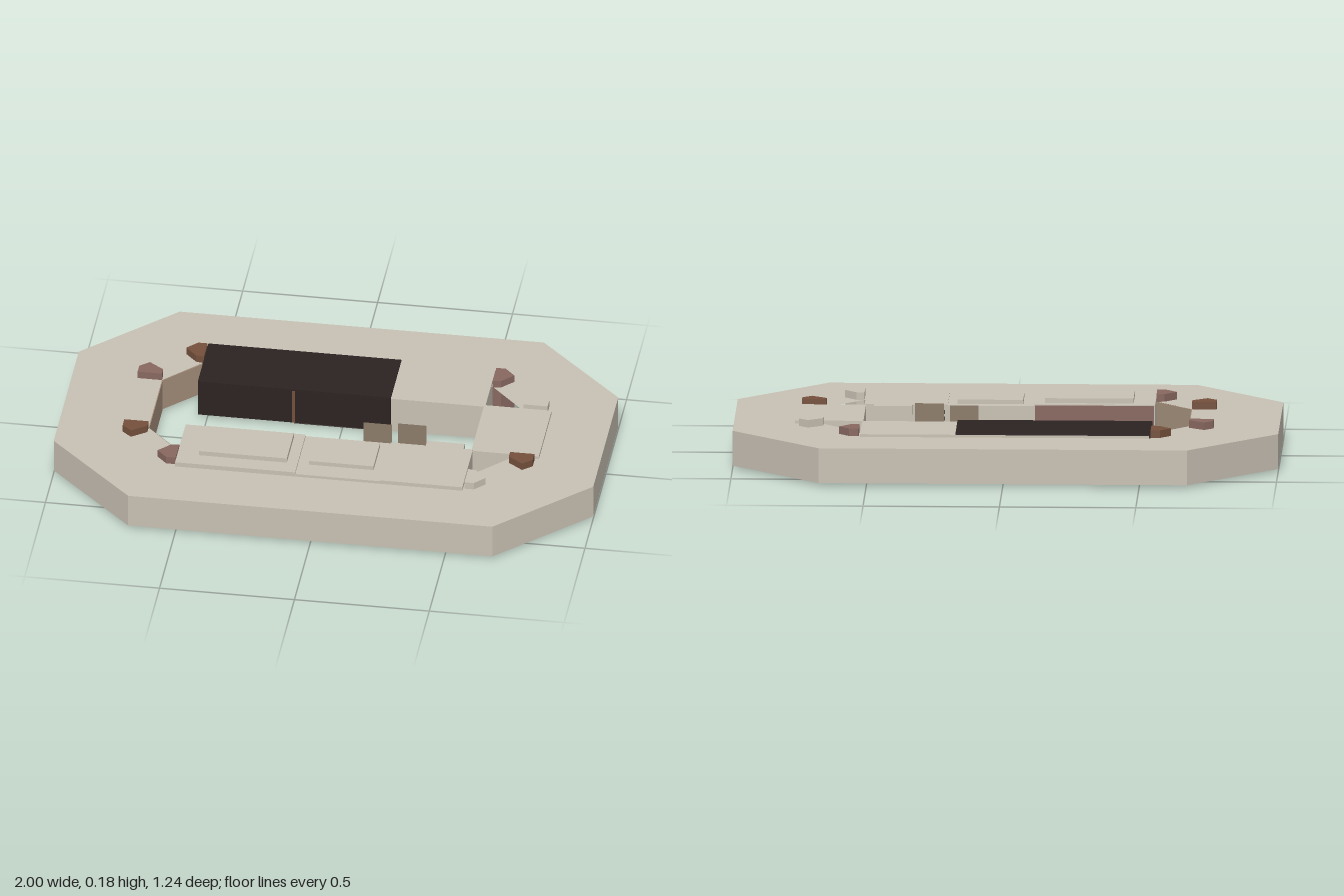
import * as THREE from 'three';

const mat = (name, color) => {
  const m = new THREE.MeshStandardMaterial({ color });
  m.name = name;
  return m;
};

export function createModel() {
  const model = new THREE.Group();
  model.name = 'counterRing';

  const beige = mat('beige', 0xc8c0b3);
  const black = mat('black', 0x2c2222);
  const rosy = mat('rosyBrown', 0x886860);
  const brown = mat('brown', 0x74503c);
  const tan = mat('tan', 0xa48f7b);
  const wood = mat('wood', 0xb0906c);
  const panelBrown = mat('panelBrown', 0x8b7b69);
  const dark = mat('darkGrey', 0x4c4640);

  const add = (name, geometry, material) => {
    const mesh = new THREE.Mesh(geometry, material);
    mesh.name = name;
    model.add(mesh);
    return mesh;
  };
  // box given by its extents
  const box = (name, material, x0, x1, y0, y1, z0, z1) => {
    const mesh = add(name, new THREE.BoxGeometry(x1 - x0, y1 - y0, z1 - z0), material);
    mesh.position.set((x0 + x1) / 2, (y0 + y1) / 2, (z0 + z1) / 2);
    return mesh;
  };
  // floor outline of [x, z] points raised between two heights
  const prism = (name, material, pts, y0, y1, hole) => {
    const toVec = ([x, z]) => new THREE.Vector2(x, -z);
    const shape = new THREE.Shape(pts.map(toVec));
    if (hole) shape.holes.push(new THREE.Path(hole.map(toVec)));
    const g = new THREE.ExtrudeGeometry(shape, { depth: y1 - y0, bevelEnabled: false });
    g.rotateX(-Math.PI / 2).translate(0, y0, 0);
    return add(name, g, material);
  };
  // octagon through (a, b) and (c, d), mirrored to all quadrants
  const octagon = (a, b, c, d) => [
    [a, b], [c, d], [-c, d], [-a, b], [-a, -b], [-c, -d], [c, -d], [a, -b],
  ];

  // outer ring
  prism('ring', beige, octagon(1, 0.3, 0.675, 0.62), 0.01, 0.14, octagon(0.67, 0.16, 0.535, 0.3));

  // lining of the left end of the opening
  box('endLining', tan, -0.672, -0.667, 0.012, 0.139, -0.16, 0.16);
  for (const s of [-1, 1]) {
    const lining = add('diagonalLining', new THREE.BoxGeometry(0.005, 0.127, 0.19), tan);
    lining.position.set(-0.602, 0.0755, s * 0.23);
    lining.rotation.y = s * Math.PI / 4;
  }

  // corner posts: one pair of outlines mirrored to every corner
  const endPost = [[0.76, 0.16], [0.67, 0.16], [0.67, 0.19], [0.725, 0.23], [0.76, 0.2]];
  const sidePost = [[0.535, 0.295], [0.565, 0.3], [0.608, 0.345], [0.57, 0.385], [0.535, 0.385]];
  const posts = [
    [endPost, -1, -1, rosy], [endPost, -1, 1, brown], [endPost, 1, 1, brown], [endPost, 1, -1, beige],
    [sidePost, -1, -1, brown], [sidePost, -1, 1, rosy], [sidePost, 1, -1, rosy], [sidePost, 1, 1, beige],
  ];
  for (const [outline, sx, sz, material] of posts) {
    prism('cornerPost', material, outline.map(([x, z]) => [x * sx, z * sz]), 0.006, 0.168);
  }

  // back counter with its black cladding
  box('backCounter', beige, -0.53, 0.53, 0.01, 0.15, -0.4, -0.15);
  box('blackTop', black, -0.535, 0.18, 0.15, 0.156, -0.403, -0.147);
  box('blackEnd', black, -0.535, -0.53, 0.012, 0.15, -0.4, -0.15);
  box('blackFront', black, -0.535, -0.185, 0.012, 0.15, -0.15, -0.146);
  box('blackFront', black, -0.175, 0.18, 0.012, 0.15, -0.15, -0.146);
  box('frontSeam', brown, -0.185, -0.175, 0.012, 0.15, -0.15, -0.147);
  box('backUnderside', dark, -0.178, 0.18, 0.006, 0.0105, -0.4, -0.15);

  // front counter in three sections
  box('frontCounterLeft', beige, -0.535, -0.09, 0.01, 0.158, 0.145, 0.4);
  box('frontCounterMiddle', beige, -0.09, 0.225, 0.01, 0.151, 0.145, 0.4);
  box('frontCounterRight', beige, 0.225, 0.53, 0.01, 0.155, 0.145, 0.4);
  box('largeTray', beige, -0.455, -0.13, 0.158, 0.176, 0.17, 0.34);
  box('smallTray', beige, -0.05, 0.19, 0.151, 0.167, 0.18, 0.33);
  box('frontLedge', beige, 0.355, 0.495, 0.12, 0.155, 0.113, 0.145);
  box('rosyPanel', rosy, -0.53, -0.095, 0.014, 0.154, 0.141, 0.145);
  box('middleUnderside', wood, -0.09, 0.225, 0.005, 0.0105, 0.145, 0.4);

  // dark slats on the inner face of the right section
  for (let i = 0; i < 5; i++) {
    const y = 0.025 + i * 0.024;
    box('slat', dark, 0.235, 0.345, y, y + 0.014, 0.141, 0.145);
  }

  // end counter
  box('endCounter', beige, 0.525, 0.775, 0.01, 0.152, -0.158, 0.15);

  // thin standing panels in the opening
  const upright = panelBrown.clone();
  upright.name = 'standingPanel';
  upright.side = THREE.DoubleSide;
  for (const [x, top] of [[0.162, 0.17], [0.29, 0.178]]) {
    const panel = add('standingPanel', new THREE.PlaneGeometry(0.106, top), upright);
    panel.position.set(x, top / 2, 0.05);
  }
  return model;
}
